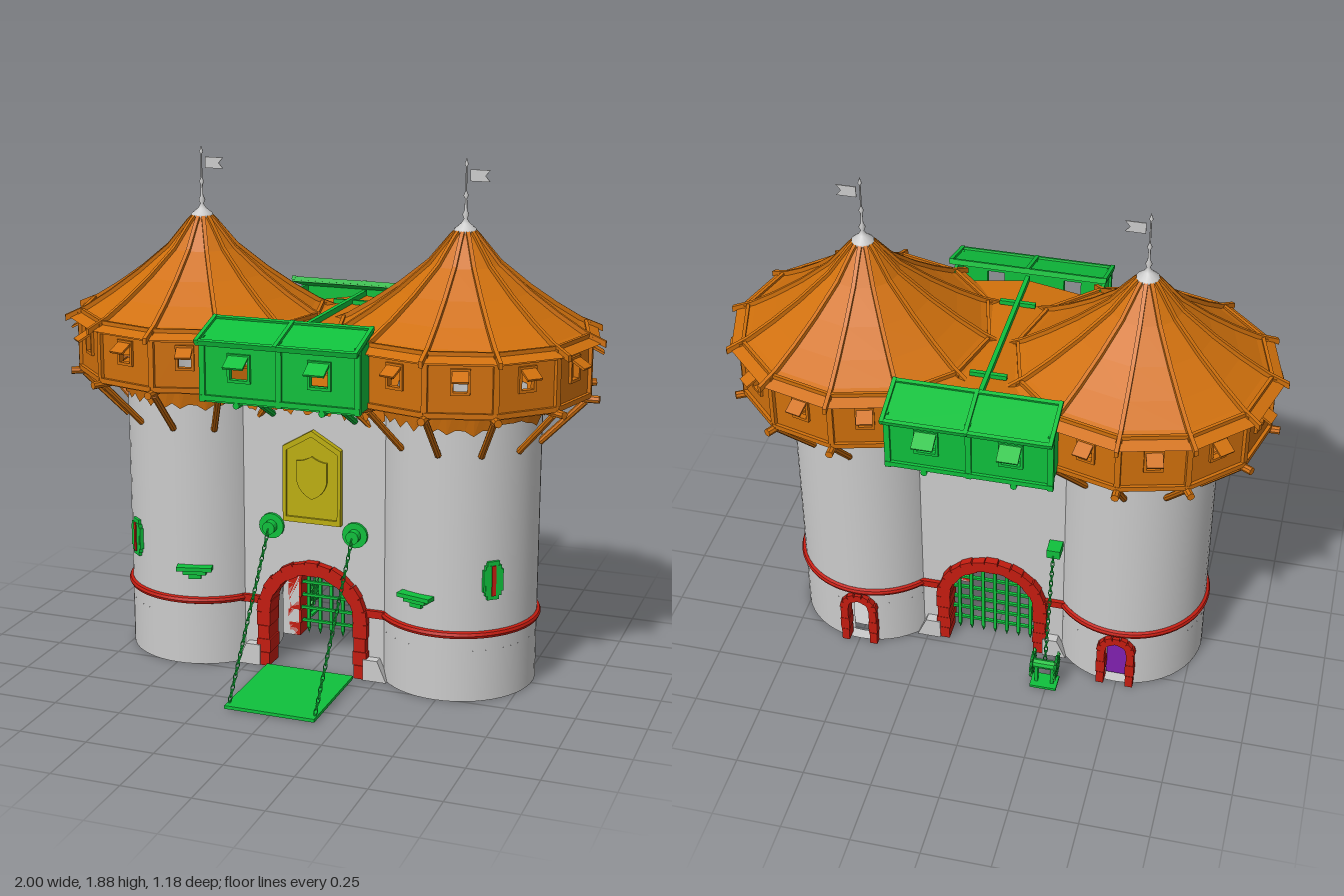
import * as THREE from 'three';

const mat = (color, flatShading = false) =>
  new THREE.MeshStandardMaterial({ color, flatShading, side: THREE.DoubleSide });
const GREY = mat(0xcccccc), ORANGE = mat(0xd0700c, true), GREEN = mat(0x0fc03c, true);
const RED = mat(0xc41c10, true), YELLOW = mat(0xbcae10, true), PURPLE = mat(0x8020b0);
const TX = 0.495, R = 0.285, WALL = 0.175; // tower centre x, tower radius, wall face z
const V = (x, y, z) => new THREE.Vector3(x, y, z);

function group(parent, name, x = 0, y = 0, z = 0, ry = 0) {
  const g = new THREE.Group();
  g.name = name;
  g.position.set(x, y, z);
  g.rotation.y = ry;
  parent.add(g);
  return g;
}
function add(parent, name, geo, m, x = 0, y = 0, z = 0) {
  const mesh = new THREE.Mesh(geo, m);
  mesh.name = name;
  mesh.position.set(x, y, z);
  parent.add(mesh);
  return mesh;
}
const box = (p, name, m, w, h, d, x, y, z) => add(p, name, new THREE.BoxGeometry(w, h, d), m, x, y, z);
const cyl = (r1, r2, h, n = 16, open = false, start = 0, len = Math.PI * 2) =>
  new THREE.CylinderGeometry(r1, r2, h, n, 1, open, start, len);
const shape = pts => new THREE.Shape(pts.map(p => new THREE.Vector2(...p)));
const extrude = (s, depth) => new THREE.ExtrudeGeometry(s, { depth, bevelEnabled: false, curveSegments: 16 });

// Round log between two points
function log(p, name, m, a, b, r) {
  const mesh = add(p, name, cyl(r, r, a.distanceTo(b), 8), m);
  mesh.position.copy(a).lerp(b, 0.5);
  mesh.quaternion.setFromUnitVectors(V(0, 1, 0), b.clone().sub(a).normalize());
}
// Links alternate by a quarter turn
function chain(p, a, b) {
  const g = group(p, 'chain');
  const n = Math.round(a.distanceTo(b) / 0.02);
  const geo = new THREE.TorusGeometry(0.009, 0.0028, 4, 8).scale(0.7, 1.5, 1);
  g.position.copy(a);
  g.quaternion.setFromUnitVectors(V(0, 1, 0), b.clone().sub(a).normalize());
  for (let i = 0; i < n; i++)
    add(g, 'chainLink', geo, GREEN, 0, (i + 0.5) * a.distanceTo(b) / n, 0).rotation.y = i % 2 * Math.PI / 2;
}
// Stone arch: stacked jamb blocks and a ring of wedges
function arch(p, inner, outer, spring, n, depth) {
  const g = group(p, 'stoneArch'), mid = (inner + outer) / 2, w = outer - inner;
  const rows = Math.max(3, Math.round(spring / 0.05));
  for (let i = 0; i < rows; i++) for (const s of [-1, 1])
    box(g, 'jambBlock', RED, w * (i % 2 ? 1.12 : 0.95), spring / rows * 0.97, depth, s * mid, (i + 0.5) * spring / rows, 0);
  for (let i = 0; i < n; i++) {
    const a = Math.PI * (i + 0.5) / n;
    box(g, 'archBlock', RED, w * (i % 2 ? 0.95 : 1.1), Math.PI * mid / n * 1.05, depth,
      mid * Math.cos(a), spring + mid * Math.sin(a), 0).rotation.z = a;
  }
  return g;
}
// Plank panel with rectangular windows, centred on x, front at z = 0
function panel(p, m, w, y0, y1, holes, hw, hh, hy) {
  const s = shape([[-w / 2, y0], [w / 2, y0], [w / 2, y1], [-w / 2, y1]]);
  for (const x of holes) s.holes.push(new THREE.Path([[x - hw, hy - hh], [x - hw, hy + hh], [x + hw, hy + hh], [x + hw, hy - hh]]
    .map(q => new THREE.Vector2(...q))));
  add(p, 'panel', extrude(s, 0.012), m, 0, 0, -0.012);
  for (const x of holes) {
    for (const k of [-1, 1]) {
      box(p, 'windowJamb', m, 0.01, hh * 2 + 0.02, 0.012, x + k * (hw + 0.005), hy, 0.004);
      box(p, 'windowRail', m, hw * 2 + 0.02, 0.01, 0.012, x, hy + k * (hh + 0.005), 0.004);
    }
    box(p, 'shutter', m, hw * 2 + 0.01, 0.008, hh * 1.7, x, hy + hh - 0.012, hh * 0.8).rotation.x = 0.5;
  }
}
// Shingle edge with a ragged bottom
function ragged(geo) {
  const q = geo.attributes.position;
  for (let i = 0; i < q.count; i++) if (q.getY(i) < 0) {
    const k = q.getX(i) * 90 + q.getZ(i) * 70;
    q.setY(i, q.getY(i) + 0.012 * Math.sin(k) + 0.008 * Math.sin(k * 2.7));
  }
  geo.computeVertexNormals();
  return geo;
}

function tower(root, side) {
  const t = group(root, side > 0 ? 'leftTower' : 'rightTower', side * TX);
  // Stone shaft with a rear doorway
  const gap = 0.15, doorH = 0.19;
  for (const r of [R, R - 0.045]) {
    add(t, 'shaftBase', cyl(r, r, doorH, 48, true, Math.PI + gap, Math.PI * 2 - gap * 2), GREY, 0, doorH / 2, 0);
    add(t, 'shaft', cyl(r, r, 1.07 - doorH, 48, true), GREY, 0, (1.07 + doorH) / 2, 0);
  }
  add(t, 'footRing', new THREE.RingGeometry(R - 0.045, R, 48).rotateX(Math.PI / 2), GREY, 0, 0.001, 0);
  add(t, 'floor', new THREE.CircleGeometry(R - 0.045, 40).rotateX(-Math.PI / 2), GREY, 0, 0.03, 0);
  arch(t, 0.04, 0.07, 0.165, 7, 0.05).position.z = -R + 0.008;
  if (side < 0) box(t, 'door', PURPLE, 0.08, 0.18, 0.008, 0, 0.1, -R + 0.04);
  add(t, 'band', new THREE.TorusGeometry(R, 0.014, 8, 64).rotateX(Math.PI / 2), RED, 0, 0.25, 0);
  add(t, 'shingleSkirt', ragged(cyl(R + 0.025, R + 0.008, 0.09, 60, true)), ORANGE, 0, 1.035, 0);

  // Arrow slit and small ledge
  const slit = group(t, 'arrowSlit', 0, 0.45, 0, side * 0.7);
  [[0.045, 0.14], [0.075, 0.08], [0.06, 0.11]].forEach(([w, h], i) => box(slit, 'slitFrame', GREEN, w, h, 0.02, 0, 0, R + i * 0.001));
  box(slit, 'slitOpening', RED, 0.015, 0.11, 0.02, 0, 0, R + 0.006);
  const ledge = group(t, 'ledge', 0, 0.365, 0, -side * 0.25);
  [[0.13, 0.015, 0.04], [0.085, 0.015, 0.03], [0.045, 0.02, 0.02]].forEach(([w, h, d], i) => box(ledge, 'ledgeStep', GREEN, w, h, d, 0, 0.015 - i * 0.016, R + d / 2 - 0.006));

  // Twelve-sided timber gallery
  const RG = 0.45, ap = RG * Math.cos(Math.PI / 12), fw = 2 * RG * Math.sin(Math.PI / 12);
  add(t, 'galleryFloor', new THREE.RingGeometry(R - 0.05, RG, 12, 1, Math.PI / 2).rotateX(-Math.PI / 2), ORANGE, 0, 1.075, 0);
  const profile = [[0.505, 1.268], [0.43, 1.3], [0.34, 1.355], [0.24, 1.425], [0.13, 1.515], [0.055, 1.605], [0.03, 1.63]];
  const rib = extrude(shape([...profile.map(([r, y]) => [r, y + 0.01]), ...profile.map(([r, y]) => [r, y - 0.012]).reverse()]), 0.014)
    .translate(0, 0, -0.007).rotateY(-Math.PI / 2);
  for (let i = 0; i < 12; i++) {
    const a = i * Math.PI / 6;
    const f = group(t, 'galleryFace', Math.sin(a + Math.PI / 12) * ap, 0, Math.cos(a + Math.PI / 12) * ap, a + Math.PI / 12);
    panel(f, ORANGE, fw, 1.07, 1.3, [0], 0.023, 0.035, 1.2);
    for (const y of [1.085, 1.265]) box(f, 'rail', ORANGE, fw, 0.018, 0.016, 0, y, 0.004);
    const c = group(t, 'galleryCorner', 0, 0, 0, a);
    box(c, 'post', ORANGE, 0.02, 0.22, 0.02, 0, 1.18, RG);
    log(c, 'floorBeam', ORANGE, V(0, 1.07, R - 0.02), V(0, 1.07, RG + 0.04), 0.014);
    log(c, 'brace', ORANGE, V(0, 0.9, R), V(0, 1.06, RG - 0.01), 0.012);
    add(c, 'roofRib', rib, ORANGE);
  }
  // Flared roof, finial and pennant
  add(t, 'roof', new THREE.LatheGeometry(profile.map(([r, y]) => new THREE.Vector2(r * 0.97, y)), 12), ORANGE);
  add(t, 'roofCollar', cyl(0.035, 0.05, 0.03, 12), ORANGE, 0, 1.61, 0);
  add(t, 'finial', new THREE.LatheGeometry([[0.04, 1.625], [0.04, 1.635], [0.015, 1.655], [0.006, 1.67], [0.012, 1.685], [0.005, 1.7],
    [0.004, 1.74], [0.009, 1.75], [0.003, 1.765], [0.003, 1.85], [0.007, 1.857], [0, 1.88]].map(q => new THREE.Vector2(...q)), 12), GREY);
  add(t, 'pennant', extrude(shape([[0.015, 1.8], [0.085, 1.8], [0.068, 1.82], [0.085, 1.84], [0.015, 1.84]]), 0.004), GREY, 0, 0, -0.002);
}

// Everything that repeats on the front and back of the gatehouse
function gateSide(root, ry) {
  const g = group(root, ry ? 'gateBack' : 'gateFront', 0, 0, 0, ry);
  const s = new THREE.Shape();
  s.moveTo(-0.28, 0).lineTo(-0.28, 1.07).lineTo(0.28, 1.07).lineTo(0.28, 0).lineTo(0.17, 0).lineTo(0.17, 0.21);
  s.absarc(0, 0.21, 0.17, 0, Math.PI, false);
  s.lineTo(-0.17, 0);
  add(g, 'wall', extrude(s, 0.06), GREY, 0, 0, WALL - 0.06);
  arch(g, 0.163, 0.21, 0.21, 13, 0.09).position.z = WALL - 0.015;
  add(g, 'shingleSkirt', ragged(new THREE.PlaneGeometry(0.54, 0.1, 40, 1)), ORANGE, 0, 1.03, WALL + 0.012);
  for (const k of [-1, 1]) {
    box(g, 'band', RED, 0.08, 0.028, 0.03, k * 0.24, 0.25, WALL);
    add(g, 'plinth', extrude(shape([[k * 0.2, 0], [k * 0.29, 0], [k * 0.255, 0.08], [k * 0.2, 0.08]]), 0.05), GREY, 0, 0, WALL - 0.015);
    log(g, 'brace', GREEN, V(k * 0.155, 0.96, WALL), V(k * 0.155, 1.08, 0.4), 0.012);
    log(g, 'floorBeam', GREEN, V(k * 0.155, 1.07, WALL), V(k * 0.155, 1.07, 0.51), 0.012);
  }
  // Projecting timber box
  const b = group(g, 'hoarding', 0, 0, 0.5);
  panel(b, GREEN, 0.56, 1.08, 1.3, [-0.145, 0.145], 0.032, 0.04, 1.2);
  for (const y of [1.09, 1.285]) box(b, 'rail', GREEN, 0.58, 0.018, 0.016, 0, y, 0.004);
  box(b, 'floor', GREEN, 0.56, 0.014, 0.17, 0, 1.08, -0.085);
  for (const x of [-0.28, 0, 0.28]) box(b, 'post', GREEN, 0.02, 0.23, 0.02, x, 1.19, 0);
  for (const k of [-1, 1]) box(b, 'sideWall', GREEN, 0.012, 0.22, 0.13, k * 0.275, 1.19, -0.065);
  const r = group(b, 'hoardingRoof', 0, 1.31, -0.045);
  r.rotation.x = 0.3;
  box(r, 'roofBoard', GREEN, 0.58, 0.012, 0.18, 0, 0, 0);
  for (const x of [-0.285, 0, 0.285]) box(r, 'roofRib', GREEN, 0.014, 0.014, 0.185, x, 0.009, 0);
  for (const k of [-1, 1]) box(r, 'roofEdge', GREEN, 0.58, 0.014, 0.014, 0, 0.007, k * 0.085);
  return g;
}

export function createModel() {
  const model = new THREE.Group();
  model.name = 'gatehouse';
  const root = group(model, 'castleGate', 0, 0, -0.02);
  for (const s of [1, -1]) tower(root, s);
  const front = gateSide(root, 0);
  gateSide(root, Math.PI);

  // Deck and low roof joining the towers
  box(root, 'deck', ORANGE, 0.5, 0.014, 0.7, 0, 1.068, 0);
  add(root, 'linkRoof', extrude(shape([[-0.25, 1.255], [0, 1.295], [0.25, 1.255], [0, 1.285]]), 0.76), ORANGE, 0, 0, -0.38);
  box(root, 'ridgeBeam', GREEN, 0.016, 0.02, 0.76, 0, 1.305, 0);
  for (const z of [-0.22, 0.22]) box(root, 'crossBeam', GREEN, 0.13, 0.016, 0.016, 0, 1.3, z);

  // Plaque with a blank shield
  const plaque = k => shape([[-0.11, 0.57], [0.11, 0.57], [0.11, 0.85], [0, 0.915], [-0.11, 0.85]].map(([x, y]) => [x * k, 0.73 + (y - 0.73) * k]));
  const rim = plaque(1);
  rim.holes.push(new THREE.Path(plaque(0.88).getPoints().reverse()));
  add(front, 'plaque', extrude(plaque(1), 0.014), YELLOW, 0, 0, WALL);
  add(front, 'plaqueRim', extrude(rim, 0.024), YELLOW, 0, 0, WALL);
  const sh = new THREE.Shape();
  sh.moveTo(-0.058, 0.8).quadraticCurveTo(-0.03, 0.8, 0, 0.82).quadraticCurveTo(0.03, 0.8, 0.058, 0.8);
  sh.lineTo(0.058, 0.73).quadraticCurveTo(0.05, 0.68, 0, 0.66).quadraticCurveTo(-0.05, 0.68, -0.058, 0.73);
  add(front, 'shield', extrude(sh, 0.022), YELLOW, 0, 0, WALL);

  // Portcullis, its bars cut to the arch
  const port = group(root, 'portcullis', 0, 0, -0.14);
  for (let i = -3; i <= 3; i++) {
    const x = i * 0.046, top = 0.21 + Math.sqrt(0.168 ** 2 - x * x);
    box(port, 'verticalBar', GREEN, 0.012, top - 0.03, 0.012, x, top / 2 + 0.015, 0);
    add(port, 'spike', cyl(0.008, 0, 0.025, 4), GREEN, x, 0.018, 0);
  }
  for (let y = 0.06; y < 0.36; y += 0.052)
    box(port, 'crossBar', GREEN, 2 * Math.sqrt(0.168 ** 2 - Math.max(0, y - 0.21) ** 2), 0.01, 0.012, 0, y, 0.006);

  // Drawbridge with chains and pulleys
  box(root, 'drawbridge', GREEN, 0.335, 0.012, 0.4, 0, 0.01, 0.42);
  for (const k of [-1, 1]) {
    add(root, 'pulleyPlate', cyl(0.047, 0.047, 0.015, 20).rotateX(Math.PI / 2), GREEN, k * 0.16, 0.54, WALL + 0.005);
    add(root, 'pulley', cyl(0.024, 0.024, 0.035, 14).rotateX(Math.PI / 2), GREEN, k * 0.16, 0.54, WALL + 0.025);
    chain(root, V(k * 0.16, 0.02, 0.59), V(k * 0.16, 0.535, WALL + 0.04));
  }

  // Winch behind the gate
  const winch = group(root, 'winch', -0.24, 0, -0.35);
  box(winch, 'base', GREEN, 0.1, 0.01, 0.07, 0, 0.005, 0);
  log(winch, 'drum', GREEN, V(-0.05, 0.095, 0), V(0.05, 0.095, 0), 0.018);
  for (const k of [-1, 1]) {
    box(winch, 'stand', GREEN, 0.012, 0.1, 0.02, k * 0.03, 0.05, 0);
    add(winch, 'wheel', new THREE.TorusGeometry(0.037, 0.006, 6, 16).rotateY(Math.PI / 2), GREEN, k * 0.045, 0.095, 0);
    for (let i = 0; i < 5; i++)
      box(winch, 'spoke', GREEN, 0.007, 0.11, 0.007, k * 0.045, 0.095, 0).rotation.x = i * Math.PI / 5;
  }
  box(root, 'winchBracket', GREEN, 0.05, 0.035, 0.06, -0.24, 0.54, -WALL - 0.03);
  chain(root, V(-0.24, 0.11, -0.345), V(-0.24, 0.53, -WALL - 0.06));
  return model;
}
